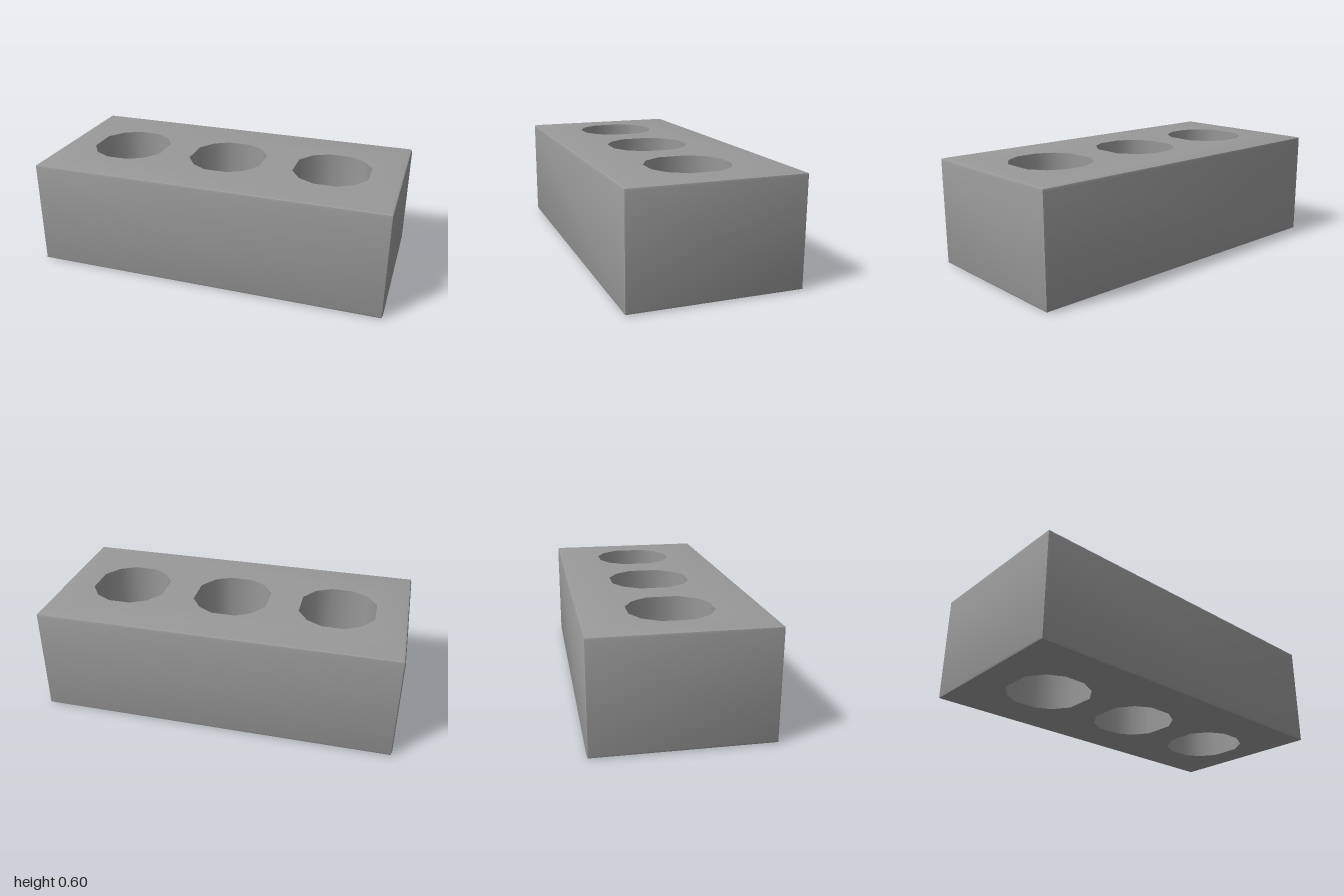
import * as THREE from 'three';
import { toCreasedNormals } from 'three/addons/utils/BufferGeometryUtils.js';

const W = 1, D = 0.473, H = 0.604;   // half width, half depth, height
const BEVEL = 0.016, MID = 0.0047;   // two-step rounding: full inset and inset at its middle

// Twelve-sided opening mirrored from one quarter
function holePath(cx, halfFlat) {
  const quarter = [[0.21, 0.084], [0.15, 0.174], [halfFlat, 0.222]];
  const points = [];
  for (const [sx, sy] of [[1, 1], [-1, 1], [-1, -1], [1, -1]]) {
    const corner = quarter.map(([x, y]) => new THREE.Vector2(cx + sx * x, sy * y));
    points.push(...(sx * sy > 0 ? corner : corner.reverse()));
  }
  return new THREE.Path(points);
}

// Footprint with two-step rounded corners
function footprint() {
  const corner = [[W, D - BEVEL], [W - MID, D - MID], [W - BEVEL, D]];
  const points = [];
  for (const [sx, sy] of [[1, 1], [-1, 1], [-1, -1], [1, -1]]) {
    const turn = corner.map(([x, y]) => new THREE.Vector2(sx * x, sy * y));
    points.push(...(sx * sy > 0 ? turn : turn.reverse()));
  }
  return new THREE.Shape(points);
}

export function createModel() {
  const group = new THREE.Group();
  group.name = 'perforatedBrick';

  // Block with three through holes
  const outline = footprint();
  outline.holes.push(holePath(-0.611, 0.061), holePath(-0.003, 0.067), holePath(0.608, 0.06));
  const geometry = new THREE.ExtrudeGeometry(outline, { depth: 5, steps: 5, bevelEnabled: false });
  geometry.rotateX(-Math.PI / 2);

  // Slide the levels to the bevel lines and draw in the rims
  const heights = [0, MID, BEVEL, H - BEVEL, H - MID, H];
  const insets = [BEVEL, MID, 0, 0, MID, BEVEL];
  const p = geometry.attributes.position;
  for (let i = 0; i < p.count; i++) {
    const level = Math.round(p.getY(i));
    const xMax = W - insets[level], zMax = D - insets[level];
    p.setXYZ(i,
      THREE.MathUtils.clamp(p.getX(i), -xMax, xMax),
      heights[level],
      THREE.MathUtils.clamp(p.getZ(i), -zMax, zMax));
  }

  // Each side shades softly up to a crease along the middle of its bevel
  const brick = new THREE.Mesh(
    toCreasedNormals(geometry, 0.65),
    new THREE.MeshStandardMaterial({ color: 0x999999 }),
  );
  brick.name = 'brickBody';
  group.add(brick);
  return group;
}
